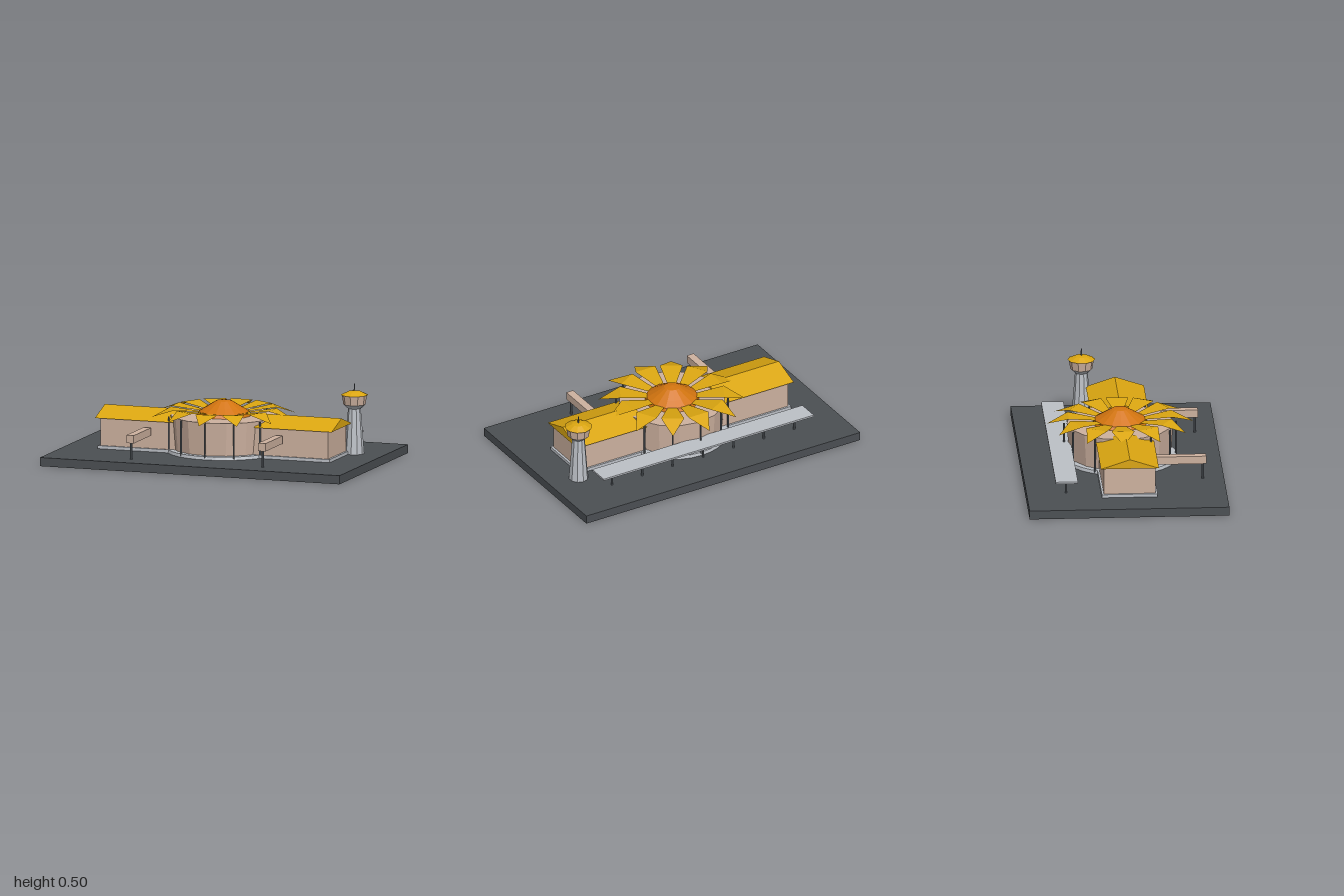
import * as THREE from 'three';

const mat = (name, color, side = THREE.FrontSide) => {
  const m = new THREE.MeshStandardMaterial({ color, side });
  m.name = name;
  return m;
};

// Unshared vertices give crisp facets
function faceted(geo) {
  const g = geo.index ? geo.toNonIndexed() : geo;
  g.computeVertexNormals();
  return g;
}

export function createModel() {
  const root = new THREE.Group();
  root.name = 'terminal';
  const asphalt = mat('asphalt', 0x4b4f53);
  const wall = mat('tanWall', 0xcdb19f);
  const gold = mat('goldRoof', 0xdba611, THREE.DoubleSide);
  const orange = mat('orangeDome', 0xd2740f);
  const concrete = mat('paleConcrete', 0xbcc0c6);
  const steel = mat('darkSteel', 0x666d73);

  const add = (name, geo, material, x = 0, y = 0, z = 0) => {
    const m = new THREE.Mesh(faceted(geo), material);
    m.name = name;
    m.position.set(x, y, z);
    root.add(m);
    return m;
  };
  // Box and cylinder given by their bottom and top heights
  const box = (name, material, x, z, w, d, y0, y1) =>
    add(name, new THREE.BoxGeometry(w, y1 - y0, d), material, x, (y0 + y1) / 2, z);
  const drum = (name, material, x, z, rBottom, rTop, y0, y1, sides) =>
    add(name, new THREE.CylinderGeometry(rTop, rBottom, y1 - y0, sides), material, x, (y0 + y1) / 2, z);
  const lathe = (name, material, x, z, points, sides) =>
    add(name, new THREE.LatheGeometry(points.map(p => new THREE.Vector2(...p)), sides), material, x, 0, z);

  // Ground slab
  box('groundSlab', asphalt, 0, 0, 2, 1.256, 0, 0.055);

  // Central hall
  drum('hallBase', concrete, 0, 0, 0.36, 0.355, 0.055, 0.075, 32);
  drum('hallWall', wall, 0, 0, 0.32, 0.335, 0.075, 0.285, 16);
  lathe('dome', orange, 0, 0,
    [[0.172, 0.285], [0.162, 0.308], [0.115, 0.336], [0.05, 0.376], [0, 0.384]], 16);

  // Petals and columns around the hall
  const petal = new THREE.BufferGeometry();
  petal.setAttribute('position', new THREE.Float32BufferAttribute([
    -0.03, 0.31, 0.155, 0.03, 0.31, 0.155,
    -0.072, 0.335, 0.325, 0.072, 0.335, 0.325,
    0, 0.285, 0.46,
  ], 3));
  petal.setIndex([0, 2, 3, 0, 3, 1, 2, 4, 3]);
  for (let i = 0; i < 12; i++) {
    const a = i * Math.PI / 6;
    add('petal', petal, gold).rotation.y = a;
    drum('column', steel, 0.352 * Math.sin(a), 0.352 * Math.cos(a), 0.006, 0.006, 0.06, 0.285, 8);
  }

  // Wings, gable roofs and boarding bridges, mirrored
  const gable = new THREE.Shape();
  gable.moveTo(-0.1825, 0.25);
  gable.lineTo(0.1825, 0.25);
  gable.lineTo(0, 0.31);
  gable.closePath();
  const roof = new THREE.ExtrudeGeometry(gable, { depth: 0.52, bevelEnabled: false });
  roof.translate(0, 0, -0.26);
  roof.rotateY(Math.PI / 2);
  for (const s of [-1, 1]) {
    box('wingBase', concrete, s * 0.51, 0.015, 0.53, 0.35, 0.055, 0.075);
    box('wingWall', wall, s * 0.505, 0.015, 0.51, 0.325, 0.075, 0.252);
    add('wingRoof', roof, gold, s * 0.53, 0, 0.015);
    box('boardingBridge', wall, s * 0.44, 0.3575, 0.05, 0.315, 0.16, 0.21);
    drum('bridgePost', steel, s * 0.44, 0.495, 0.008, 0.008, 0.055, 0.16, 8);
  }

  // Rear canopy on a row of posts
  box('canopy', concrete, 0, -0.38, 1.535, 0.14, 0.15, 0.162);
  for (let i = -3; i <= 3; i++) {
    drum('canopyPost', steel, i * 0.222, -0.38, 0.007, 0.007, 0.055, 0.15, 8);
  }

  // Control tower
  const tx = 0.8, tz = -0.195;
  drum('towerShaft', concrete, tx, tz, 0.062, 0.04, 0.055, 0.345, 10);
  drum('towerCollar', concrete, tx, tz, 0.042, 0.07, 0.342, 0.368, 10);
  drum('towerCab', wall, tx, tz, 0.07, 0.079, 0.368, 0.43, 10);
  lathe('towerCap', gold, tx, tz,
    [[0, 0.428], [0.087, 0.428], [0.04, 0.45], [0, 0.456]], 10);
  drum('mast', steel, tx, tz, 0.005, 0.003, 0.45, 0.498, 6);

  return root;
}
